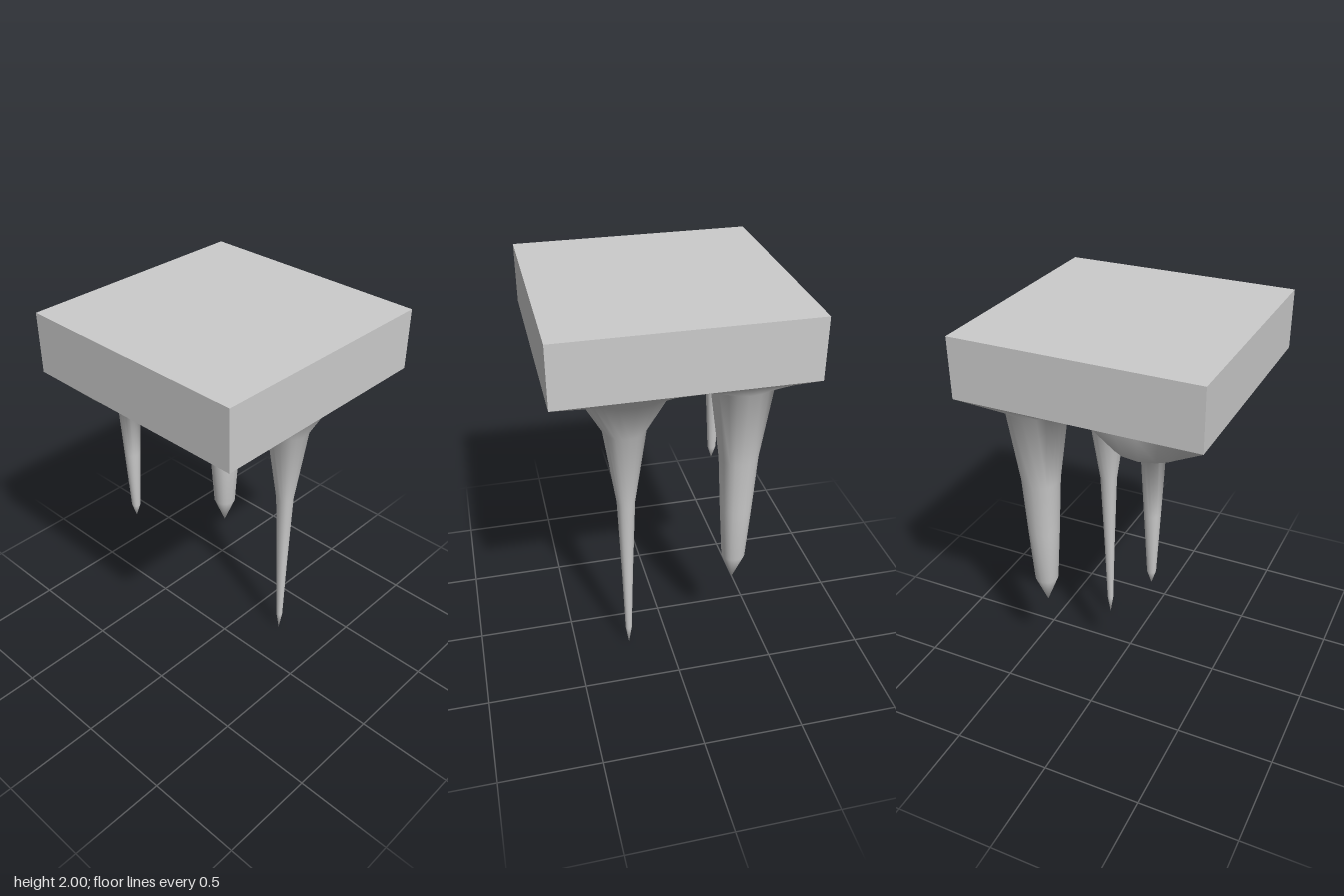
import * as THREE from 'three';

const HALF = 0.6, SLAB_BOTTOM = 1.7;
const SPLIT_X = -0.1, SPLIT_Z = -0.09; // lines where the four flares meet
const PER_SIDE = 5;

// Height of the rock where neighbouring flares meet: lowest in the middle
function seamHeight(x, z) {
  const inset = HALF - Math.max(Math.abs(x), Math.abs(z));
  return SLAB_BOTTOM - 0.15 * (inset / 0.5) ** 2;
}

// Walk round a rectangle, corner by corner
function rectanglePoints([x0, x1], [z0, z1]) {
  const corners = [[x1, z0], [x1, z1], [x0, z1], [x0, z0]];
  const points = [];
  corners.forEach(([ax, az], i) => {
    const [bx, bz] = corners[(i + 1) % 4];
    for (let k = 0; k < PER_SIDE; k++) {
      const t = k / PER_SIDE;
      points.push([ax + (bx - ax) * t, az + (bz - az) * t]);
    }
  });
  return points;
}

// Loft from a rectangular patch of the slab down through round rings to a tip
function stalactite({ name, x, z, xs, zs, rings, tip }, material) {
  const border = rectanglePoints(xs, zs);
  const n = border.length;
  const positions = [], index = [];

  for (const [px, pz] of border) positions.push(px, seamHeight(px, pz), pz);
  for (const [y, radius] of rings) {
    for (const [px, pz] of border) {
      const dx = px - x, dz = pz - z, reach = Math.hypot(dx, dz);
      const r = Math.min(radius, reach * 0.88);
      positions.push(x + (dx / reach) * r, y, z + (dz / reach) * r);
    }
  }
  positions.push(x, tip, z);

  const tipIndex = n * (rings.length + 1);
  for (let i = 0; i < n; i++) {
    const j = (i + 1) % n;
    for (let k = 0; k < rings.length; k++) {
      const a = k * n + i, b = k * n + j;
      index.push(a, b, a + n, b, b + n, a + n);
    }
    index.push(rings.length * n + i, rings.length * n + j, tipIndex);
  }

  const geometry = new THREE.BufferGeometry();
  geometry.setAttribute('position', new THREE.Float32BufferAttribute(positions, 3));
  geometry.setIndex(index);
  geometry.computeVertexNormals();
  const mesh = new THREE.Mesh(geometry, material);
  mesh.name = name;
  return mesh;
}

export function createModel() {
  const group = new THREE.Group();
  group.name = 'hangingStalactites';
  const material = new THREE.MeshStandardMaterial({ color: 0xcccccc });

  // Ceiling slab
  const slab = new THREE.Mesh(new THREE.BoxGeometry(2 * HALF, 0.3, 2 * HALF), material);
  slab.name = 'ceilingSlab';
  slab.position.y = SLAB_BOTTOM + 0.15;
  group.add(slab);

  const left = [SPLIT_X, HALF], right = [-HALF, SPLIT_X];
  const front = [SPLIT_Z, HALF], back = [-HALF, SPLIT_Z];

  // Rings are [height, radius] from the flare downward
  const spikes = [
    { name: 'longStalactite', x: 0.23, z: 0.215, xs: left, zs: front, tip: 0,
      rings: [[1.59, 0.235], [1.36, 0.107], [0.94, 0.046], [0.5, 0.029], [0.11, 0.017]] },
    { name: 'thickStalactite', x: 0.335, z: -0.32, xs: left, zs: back, tip: 0.45,
      rings: [[1.6, 0.152], [1.2, 0.097], [0.9, 0.08], [0.6, 0.06]] },
    { name: 'thinStalactite', x: -0.285, z: -0.375, xs: right, zs: back, tip: 0.8,
      rings: [[1.575, 0.19], [1.5, 0.056], [1.2, 0.04], [0.87, 0.022]] },
    { name: 'stubStalactite', x: -0.305, z: 0.285, xs: right, zs: front, tip: 1.48,
      rings: [[1.62, 0.17], [1.55, 0.085], [1.5, 0.045]] },
  ];
  for (const spike of spikes) group.add(stalactite(spike, material));

  return group;
}
